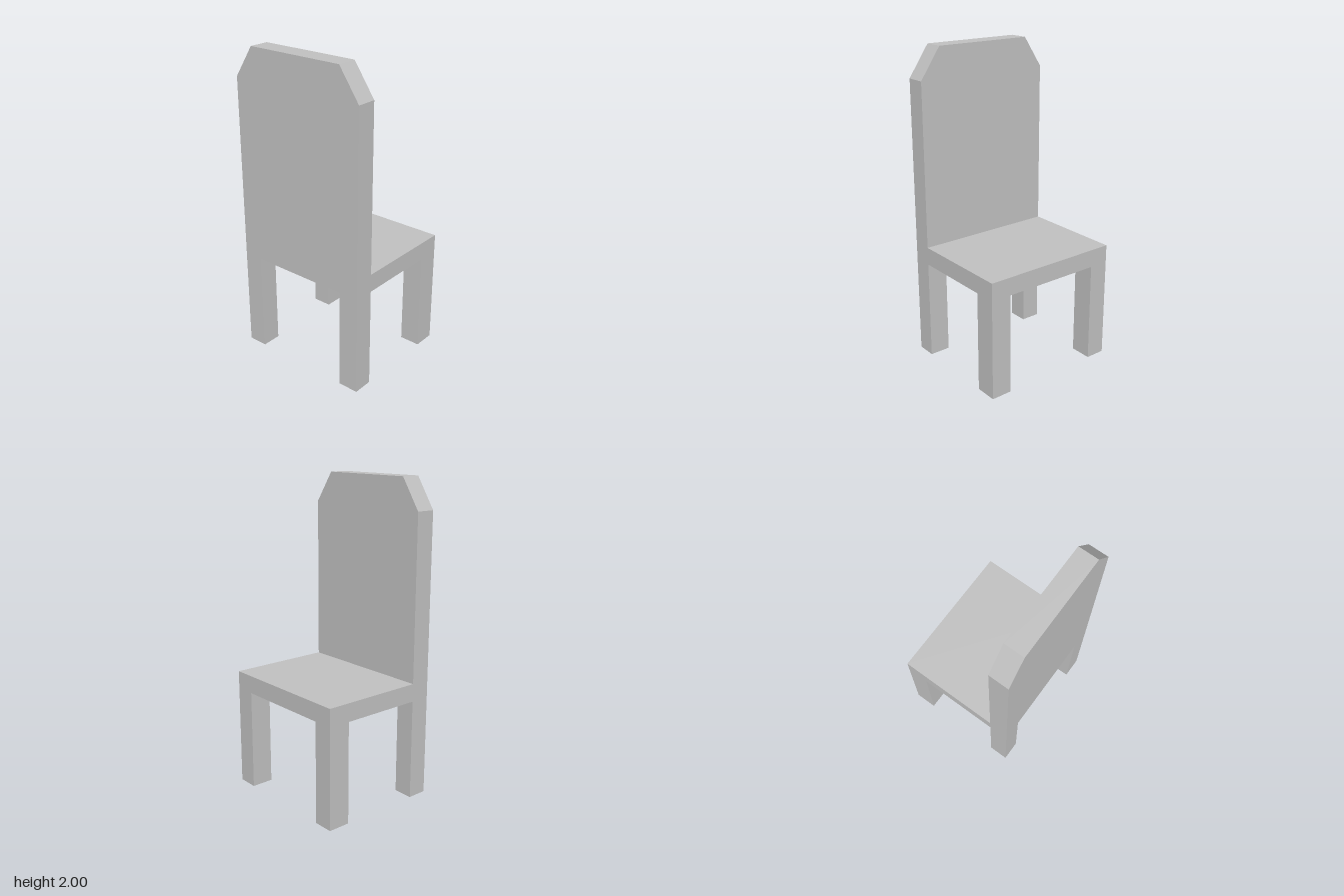
import * as THREE from 'three';

// Key planes of the chair
const XB = -0.397, XBI = -0.27, XFI = 0.255, XF = 0.397; // backrest side to front edge
const ZA = -0.454, ZAI = -0.326, ZBI = 0.32, ZB = 0.454; // across the width
const UNDER = 0.645, SEAT = 0.759, SHOULDER = 1.806, TOP = 2;

export function createModel() {
  const grey = new THREE.MeshStandardMaterial({ color: 0xc0c0c0, side: THREE.DoubleSide });
  grey.name = 'grey';
  const chair = new THREE.Group();
  chair.name = 'chair';

  function add(name, geometry) {
    const mesh = new THREE.Mesh(geometry, grey);
    mesh.name = name;
    chair.add(mesh);
  }

  // Flat panel facing along one axis; points are (x,y), (z,y) or (x,z)
  function panel(name, axis, sign, offset, points) {
    const flip = axis === 'z' ? sign : -sign;
    const flat = points.map(([a, b]) => axis === 'y'
      ? new THREE.Vector2(a, -sign * b)
      : new THREE.Vector2(flip * a, b));
    const g = new THREE.ShapeGeometry(new THREE.Shape(flat));
    if (axis === 'x') g.rotateY(sign * Math.PI / 2).translate(offset, 0, 0);
    if (axis === 'y') g.rotateX(-sign * Math.PI / 2).translate(0, offset, 0);
    if (axis === 'z') g.rotateY(sign > 0 ? 0 : Math.PI).translate(0, 0, offset);
    add(name, g);
  }
  const rect = (a0, b0, a1, b1) => [[a0, b0], [a1, b0], [a1, b1], [a0, b1]];

  // Side profiles: backrest, seat edge and two legs in one face
  const side = [[XB, 0], [XBI, 0], [XBI, UNDER], [XFI, UNDER], [XFI, 0], [XF, 0],
    [XF, SEAT], [XBI, SEAT], [XBI, SHOULDER], [XB, SHOULDER]];
  panel('side', 'z', 1, ZB, side);
  panel('side', 'z', -1, ZA, side);

  // Leg arch shared by the outer ends, and the chamfered crown outline
  const arch = [[ZA, 0], [ZAI, 0], [ZAI, UNDER], [ZBI, UNDER], [ZBI, 0], [ZB, 0]];
  const crown = [[ZB, SHOULDER], [ZBI, TOP], [ZAI, TOP], [ZA, SHOULDER]];
  panel('seatEnd', 'x', 1, XF, [...arch, [ZB, SEAT], [ZA, SEAT]]);
  panel('backrestOuter', 'x', -1, XB, [...arch, ...crown]);
  panel('backrestInner', 'x', 1, XBI, [[ZA, SEAT], [ZB, SEAT], ...crown]);

  // Top edge and the two chamfers of the backrest
  for (let i = 0; i < 3; i++) {
    const [z0, y0] = crown[i], [z1, y1] = crown[i + 1];
    const g = new THREE.PlaneGeometry(XBI - XB, Math.hypot(z1 - z0, y1 - y0));
    g.rotateX(-Math.atan2(z0 - z1, y1 - y0));
    g.translate((XB + XBI) / 2, (y0 + y1) / 2, (z0 + z1) / 2);
    add('backrestCrown', g);
  }

  // Seat top, and the underside cut around the legs
  panel('seatTop', 'y', 1, SEAT, rect(XBI, ZA, XF, ZB));
  panel('seatUnderside', 'y', -1, UNDER, [
    [XBI, ZA], [XFI, ZA], [XFI, ZAI], [XF, ZAI], [XF, ZBI], [XFI, ZBI],
    [XFI, ZB], [XBI, ZB], [XBI, ZBI], [XB, ZBI], [XB, ZAI], [XBI, ZAI]]);

  // Inner leg faces; the hollow legs are open at the floor
  for (const [z0, z1] of [[ZA, ZAI], [ZBI, ZB]]) {
    panel('legInner', 'x', 1, XBI, rect(z0, 0, z1, UNDER));
    panel('legInner', 'x', -1, XFI, rect(z0, 0, z1, UNDER));
  }
  for (const [x0, x1] of [[XB, XBI], [XFI, XF]]) {
    panel('legInner', 'z', 1, ZAI, rect(x0, 0, x1, UNDER));
    panel('legInner', 'z', -1, ZBI, rect(x0, 0, x1, UNDER));
  }
  return chair;
}
